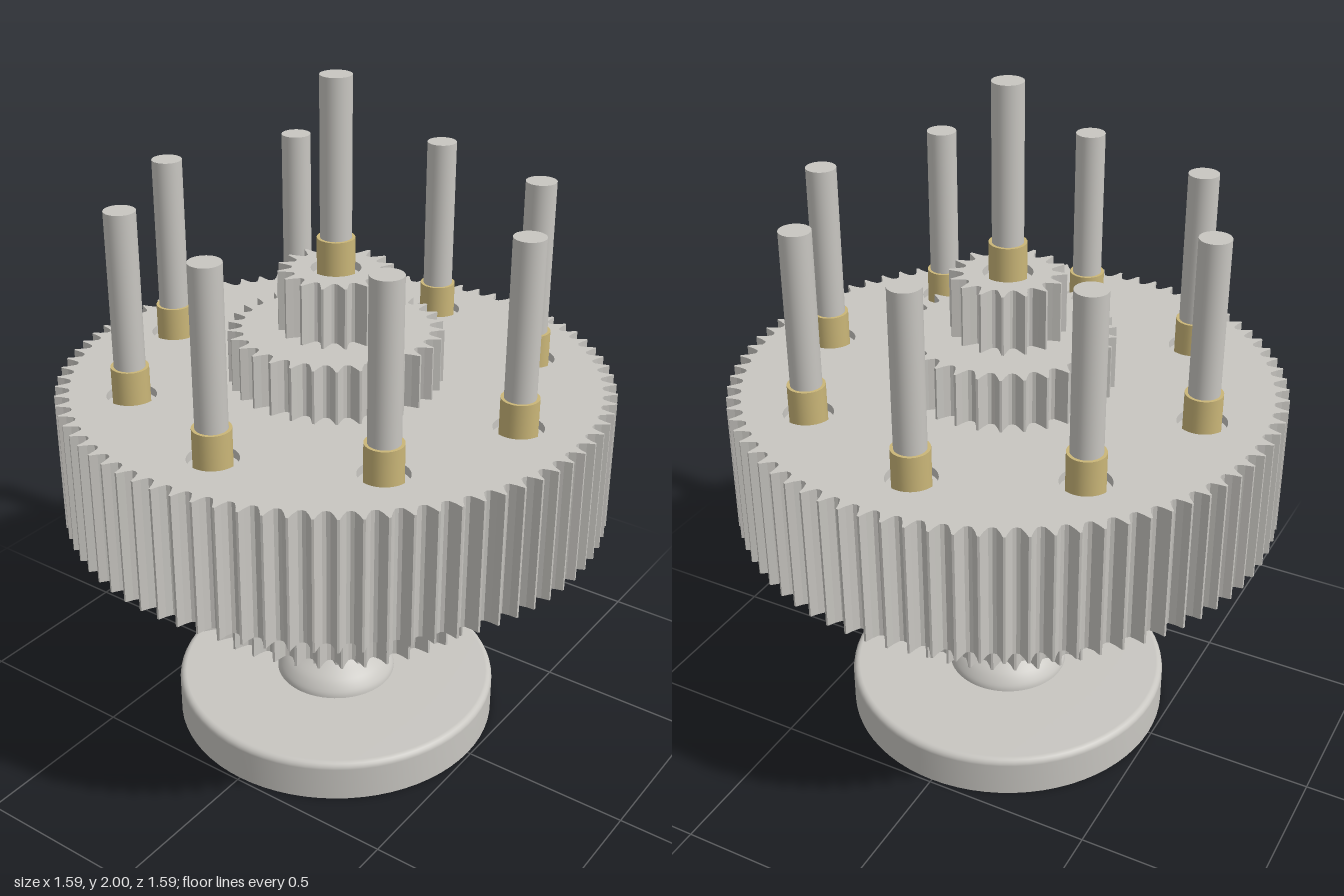
import * as THREE from 'three';

const steel = new THREE.MeshStandardMaterial({ color: 0xc8c6c1 });
steel.name = 'steel';
const brass = new THREE.MeshStandardMaterial({ color: 0xcab678 });
brass.name = 'brass';

const TAU = Math.PI * 2;
const RECESS = 0.025; // depth of the seat around each pin
const SEAT_R = 0.07;

function add(parent, name, geometry, material = steel) {
  const mesh = new THREE.Mesh(geometry, material);
  mesh.name = name;
  parent.add(mesh);
  return mesh;
}

// Lathes each profile separately, so the joints between them stay sharp
function turned(parent, name, profiles, segments) {
  const group = new THREE.Group();
  group.name = name;
  for (const profile of profiles) {
    const points = profile.map(([r, y]) => new THREE.Vector2(r, y));
    add(group, name + 'Surface', new THREE.LatheGeometry(points, segments));
  }
  parent.add(group);
  return group;
}

// Eight places around a circle, as [x, z]
const ring = (radius, start) => Array.from({ length: 8 }, (_, i) => {
  const a = start + (i * TAU) / 8;
  return [radius * Math.cos(a), radius * Math.sin(a)];
});

function circleHole([x, z], r) {
  const path = new THREE.Path();
  path.absarc(x, -z, r, 0, TAU, true);
  return path;
}

// Toothed outline with narrow tips and concave flanks
function gearShape(teeth, radius) {
  const depth = 0.042;
  const tooth = [[-0.5, 0], [-0.33, 0.08], [-0.17, 0.5], [-0.05, 1], [0.05, 1], [0.17, 0.5], [0.33, 0.08]];
  const points = [];
  for (let i = 0; i < teeth; i++) {
    for (const [t, h] of tooth) {
      const a = ((i + t) / teeth) * TAU;
      const r = radius - depth * (1 - h);
      points.push(new THREE.Vector2(r * Math.cos(a), r * Math.sin(a)));
    }
  }
  return new THREE.Shape(points);
}

function slab(shape, y0, y1) {
  const g = new THREE.ExtrudeGeometry(shape, { depth: y1 - y0, bevelEnabled: false, curveSegments: 24 });
  return g.rotateX(-Math.PI / 2).translate(0, y0, 0);
}

// A gear; where pins stand on it, its top layer is pierced by their seats
function gear(parent, name, teeth, radius, y0, y1, seats = []) {
  const split = seats.length ? y1 - RECESS : y1;
  add(parent, name, slab(gearShape(teeth, radius), y0, split));
  if (seats.length) {
    const top = gearShape(teeth, radius);
    top.holes = seats.map((p) => circleHole(p, SEAT_R));
    add(parent, name + 'Top', slab(top, split, y1));
  }
}

// A steel pin in a brass collar, standing in its seat
function pin(parent, name, [x, z], y, top) {
  const group = new THREE.Group();
  group.name = name;
  const cylinder = (part, r, y0, y1, material) => {
    const g = new THREE.CylinderGeometry(r, r, y1 - y0, 32);
    add(group, part, g.translate(x, (y0 + y1) / 2, z), material);
  };
  cylinder('collar', 0.053, y - RECESS, y + 0.09, brass);
  cylinder('rod', 0.044, y + 0.08, top, steel);
  parent.add(group);
}

export function createModel() {
  const model = new THREE.Group();
  model.name = 'gearStack';

  // Round foot with a softened upper edge
  const R = 0.49;
  const edge = Array.from({ length: 6 }, (_, i) => {
    const a = (i / 5) * Math.PI / 2;
    return [R - 0.02 + 0.02 * Math.cos(a), 0.105 + 0.02 * Math.sin(a)];
  });
  turned(model, 'foot', [[[R, 0], ...edge, [0.15, 0.125]]], 72);

  // Underside with eight blind bores
  const bores = ring(0.335, 0.08);
  const under = new THREE.Shape();
  under.absarc(0, 0, R, 0, TAU, false);
  under.holes = bores.map(([x, z]) => {
    const path = new THREE.Path();
    path.absarc(x, z, 0.088, 0, TAU, true);
    return path;
  });
  add(model, 'footUnderside', new THREE.ShapeGeometry(under, 36).rotateX(Math.PI / 2));
  for (const [x, z] of bores) {
    turned(model, 'bore', [[[0, 0.08], [0.088, 0.08]], [[0.088, 0.08], [0.088, 0]]], 36)
      .position.set(x, 0, z);
  }

  // Domed pedestal with a flared neck
  const curve = new THREE.SplineCurve([
    [0.183, 0.122], [0.178, 0.142], [0.155, 0.172], [0.115, 0.2], [0.092, 0.218],
    [0.088, 0.235], [0.1, 0.262], [0.12, 0.288], [0.132, 0.312],
  ].map(([r, y]) => new THREE.Vector2(r, y)));
  add(model, 'pedestal', new THREE.LatheGeometry(curve.getPoints(32), 64));

  // Stack of gears
  const places = ring(0.582, -0.045);
  gear(model, 'lowestGear', 25, 0.262, 0.308, 0.467);
  gear(model, 'lowerGear', 48, 0.493, 0.467, 0.74);
  gear(model, 'mainGear', 80, 0.795, 0.74, 1.13, places);
  gear(model, 'upperGear', 30, 0.305, 1.13, 1.287);
  gear(model, 'topGear', 16, 0.163, 1.287, 1.462, [[0, 0]]);

  // Ring of pins and the taller one in the middle
  places.forEach((p) => pin(model, 'outerPin', p, 1.13, 1.67));
  pin(model, 'centrePin', [0, 0], 1.462, 2);

  return model;
}
